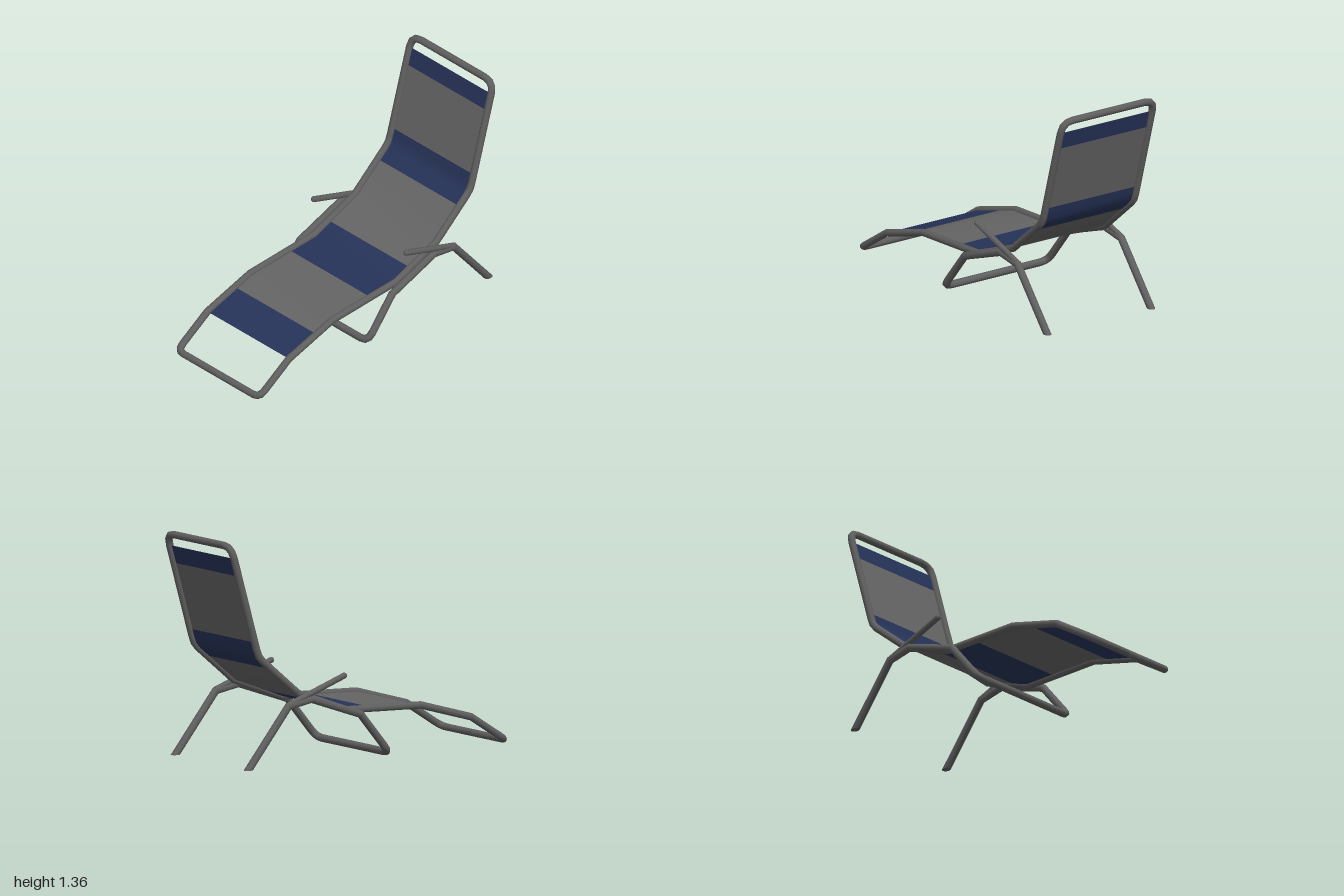
import * as THREE from 'three';

const frameGrey = new THREE.MeshStandardMaterial({ color: 0x5e5e5e });
frameGrey.name = 'frame grey';
const fabricGrey = new THREE.MeshStandardMaterial({ color: 0x646464, side: THREE.DoubleSide });
fabricGrey.name = 'fabric grey';
const fabricNavy = new THREE.MeshStandardMaterial({ color: 0x263358, side: THREE.DoubleSide });
fabricNavy.name = 'fabric navy';

const V = (x, y, z) => new THREE.Vector3(x, y, z);

// Replaces the corner at b with a short bend
function bend(a, b, c, size, steps = 3) {
  const p = b.clone().add(a.clone().sub(b).setLength(size));
  const q = b.clone().add(c.clone().sub(b).setLength(size));
  return new THREE.QuadraticBezierCurve3(p, b, q).getPoints(steps);
}

// Round tube along a polyline with mitred joints; endNormal sets the plane of both end cuts
function tube(name, pts, r, endNormal, sides = 12) {
  const n = pts.length;
  const dirs = pts.slice(1).map((p, i) => p.clone().sub(pts[i]).normalize());
  const u = V(0, 1, 0).cross(dirs[0]);
  if (u.length() < 0.01) u.set(1, 0, 0);
  u.normalize();
  const v = dirs[0].clone().cross(u);
  let ring = [];
  for (let k = 0; k < sides; k++) {
    const a = (k / sides) * Math.PI * 2;
    ring.push(pts[0].clone().addScaledVector(u, r * Math.cos(a)).addScaledVector(v, r * Math.sin(a)));
  }
  const pos = [], idx = [];
  for (let i = 0; i < n; i++) {
    const dir = dirs[Math.max(i - 1, 0)];
    let plane = dir.clone().add(dirs[Math.min(i, n - 2)]).normalize();
    if (endNormal && (i === 0 || i === n - 1)) plane = endNormal;
    // Slide the ring along the tube onto the joint plane
    ring = ring.map(p => p.clone().addScaledVector(dir, pts[i].clone().sub(p).dot(plane) / dir.dot(plane)));
    ring.forEach(p => pos.push(p.x, p.y, p.z));
    if (i === 0) continue;
    for (let k = 0; k < sides; k++) {
      const a = (i - 1) * sides + k, b = (i - 1) * sides + (k + 1) % sides;
      idx.push(a, b, a + sides, b, b + sides, a + sides);
    }
  }
  // End caps with their own vertices
  for (const [row, flip] of [[0, true], [n - 1, false]]) {
    const base = pos.length / 3;
    for (let k = 0; k < sides * 3; k++) pos.push(pos[row * sides * 3 + k]);
    for (let k = 1; k < sides - 1; k++) {
      idx.push(base, base + (flip ? k + 1 : k), base + (flip ? k : k + 1));
    }
  }
  const g = new THREE.BufferGeometry();
  g.setAttribute('position', new THREE.Float32BufferAttribute(pos, 3));
  g.setIndex(idx);
  g.computeVertexNormals();
  const mesh = new THREE.Mesh(g, frameGrey);
  mesh.name = name;
  return mesh;
}

const mirrored = pts => pts.map(p => V(-p.x, p.y, p.z)).reverse();

// Side profile of the lounger as [z, y], foot to head
const profile = [[0.978, 0.026], [0.73, 0.184], [0.37, 0.284], [-0.16, 0.298], [-0.5, 0.424],
  [-0.752, 0.635], [-0.78, 0.667], [-0.796, 0.71], [-0.976, 1.337]];

// Closed main frame, starting and ending in the middle of the foot bar
function mainFrame() {
  const x = 0.342;
  const side = profile.map(([z, y]) => V(x, y, z));
  const last = side.length - 1;
  const foot = V(0, side[0].y, side[0].z), head = V(0, side[last].y, side[last].z);
  const half = [
    ...bend(foot, side[0], side[1], 0.05),
    ...side.slice(1, last),
    ...bend(side[last - 1], side[last], head, 0.075),
  ];
  return tube('mainFrame', [foot, ...half, ...mirrored(half), foot.clone()], 0.022);
}

// One bent tube forming the front support, both side rails and the rear legs
function supportFrame() {
  const x = 0.387;
  const corner = V(x, 0.026, 0.118), knee = V(x, 0.272, -0.086);
  const half = [
    ...bend(V(0, 0.026, 0.118), corner, knee, 0.06),
    knee, V(x, 0.39, -0.434), V(x, 0.36, -0.598), V(x, 0, -0.885),
  ];
  return tube('supportFrame', [...mirrored(half), ...half], 0.023, V(0, 1, 0));
}

// Fabric strip following the profile, in bands of alternating colour
function fabric() {
  const at = (a, b, t) => [a[0] + (b[0] - a[0]) * t, a[1] + (b[1] - a[1]) * t];
  const breaks = [0.73, 0.5, 0.05, -0.28, -0.69, -0.808, -0.924, -0.955]; // z of the band edges
  const rows = [];
  for (let i = 0; i < profile.length - 1; i++) {
    const a = profile[i], b = profile[i + 1];
    if (a[0] <= breaks[0] && a[0] > breaks[7]) rows.push(a);
    for (const z of breaks) if (z < a[0] && z > b[0]) rows.push(at(a, b, (a[0] - z) / (a[0] - b[0])));
  }
  const pos = [], idx = [];
  const g = new THREE.BufferGeometry();
  rows.forEach(([z, y], i) => {
    pos.push(-0.335, y, z, 0.335, y, z);
    if (i === 0) return;
    const a = 2 * (i - 1);
    const mid = (rows[i - 1][0] + z) / 2;
    const band = breaks.filter(e => e > mid).length - 1;
    g.addGroup(idx.length, 6, band % 2);
    idx.push(a, a + 1, a + 2, a + 1, a + 3, a + 2);
  });
  g.setAttribute('position', new THREE.Float32BufferAttribute(pos, 3));
  g.setIndex(idx);
  g.computeVertexNormals();
  const mesh = new THREE.Mesh(g, [fabricNavy, fabricGrey]);
  mesh.name = 'fabric';
  return mesh;
}

export function createModel() {
  const model = new THREE.Group();
  model.name = 'deckLounger';
  model.add(mainFrame(), supportFrame(), fabric());

  // Armrests with rounded tips
  for (const s of [1, -1]) {
    const arm = new THREE.Group();
    arm.name = s > 0 ? 'leftArmrest' : 'rightArmrest';
    const tip = V(s * 0.387, 0.511, -0.203);
    const cap = new THREE.Mesh(new THREE.SphereGeometry(0.018, 12, 8), frameGrey);
    cap.name = 'armrestTip';
    cap.position.copy(tip);
    arm.add(tube('armrestTube', [V(s * 0.387, 0.366, -0.6), tip], 0.018), cap);
    model.add(arm);
  }
  return model;
}
